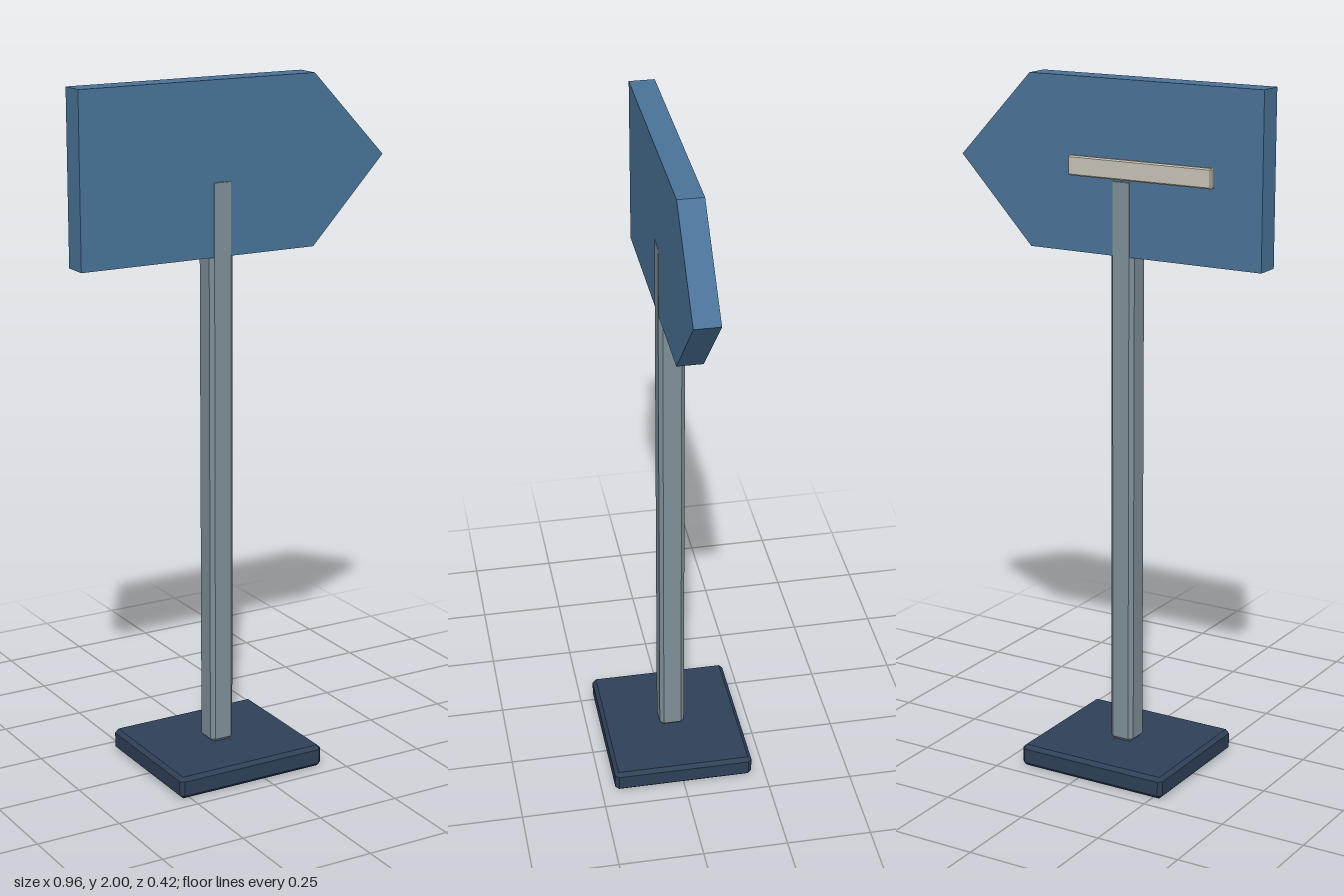
import * as THREE from 'three';
import { ConvexGeometry } from 'three/addons/geometries/ConvexGeometry.js';

// Box with every edge chamfered by c, centred on the origin
function chamferBox(w, h, d, c) {
  const half = [w / 2, h / 2, d / 2];
  const points = [];
  for (const sx of [-1, 1]) for (const sy of [-1, 1]) for (const sz of [-1, 1]) {
    for (let axis = 0; axis < 3; axis++) {
      const [x, y, z] = half.map((v, i) => (i === axis ? v : v - c));
      points.push(new THREE.Vector3(sx * x, sy * y, sz * z));
    }
  }
  return new ConvexGeometry(points);
}

function addPart(group, name, geometry, color, x, y, z) {
  const material = new THREE.MeshStandardMaterial({ color, flatShading: true });
  const mesh = new THREE.Mesh(geometry, material);
  mesh.name = name;
  mesh.position.set(x, y, z);
  group.add(mesh);
}

export function createModel() {
  const group = new THREE.Group();
  group.name = 'arrowSignpost';
  const postX = -0.045;

  // Foot plate and post
  addPart(group, 'base', chamferBox(0.47, 0.065, 0.418, 0.011), 0x2f4058, postX, 0.0325, 0);
  addPart(group, 'post', chamferBox(0.074, 1.665, 0.075, 0.011), 0x7f8f98, postX, 0.8975, 0);

  // Arrow-shaped board, pointing to +x, almost as thick as the post
  const arrow = new THREE.Shape([
    [-0.48, 1.512], [0.25, 1.512], [0.48, 1.756], [0.25, 2], [-0.48, 2],
  ].map(([x, y]) => new THREE.Vector2(x, y)));
  const depth = 0.073;
  const board = new THREE.ExtrudeGeometry(arrow, { depth, bevelEnabled: false });
  addPart(group, 'arrowBoard', board, 0x4a7398, 0, 0, -depth / 2);

  // Thin strip standing just off the back of the board
  addPart(group, 'backStrip', chamferBox(0.452, 0.056, 0.019, 0.004), 0xc8c4b8, -0.115, 1.757, -0.055);

  return group;
}
